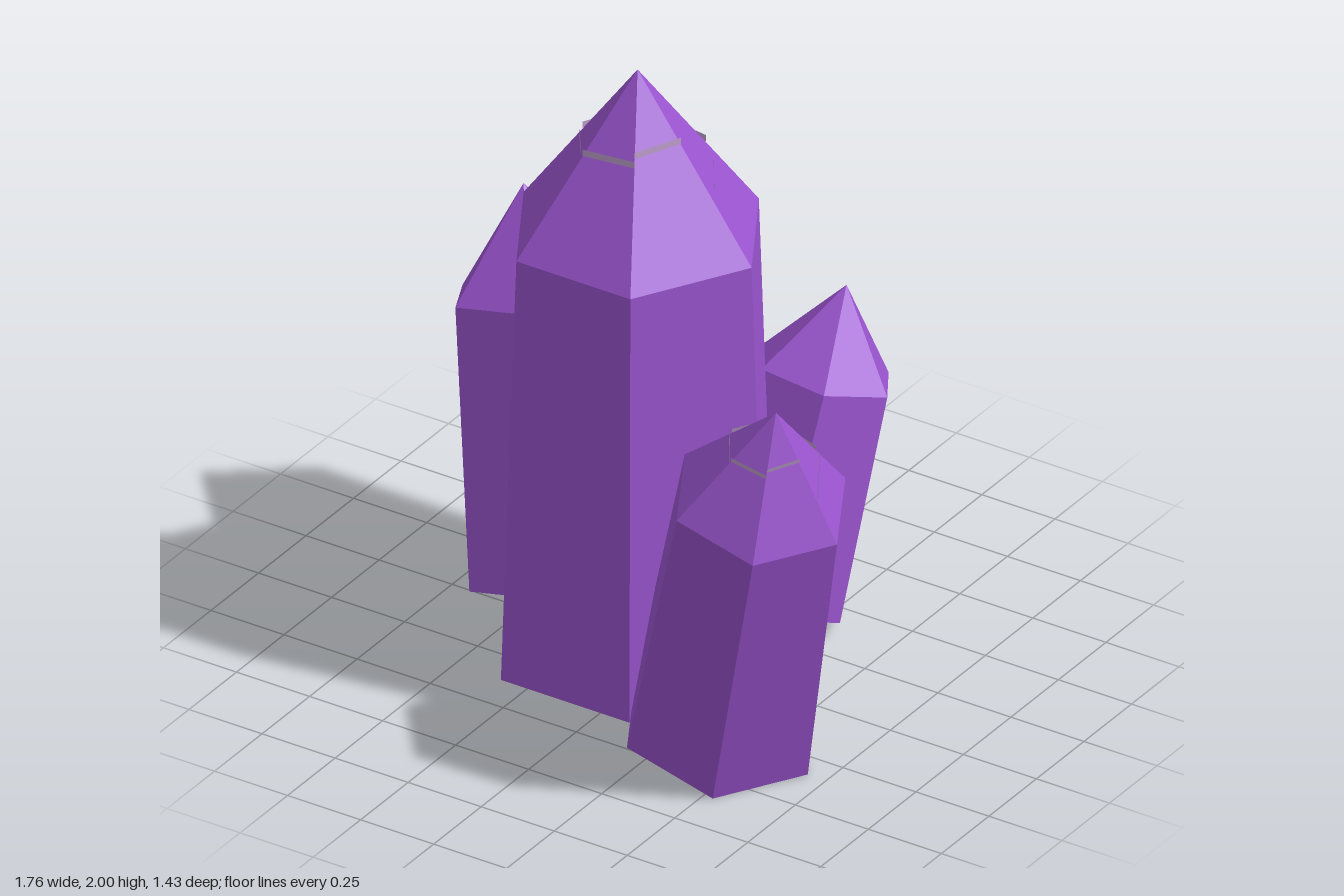
import * as THREE from 'three';

// base centre, apex, base radius, whether the tip carries the pale vein
const CRYSTALS = [
  { name: 'mainCrystal', base: [-0.05, 0.08, 0.1], apex: [-0.05, 2, 0.1], radius: 0.44, vein: true },
  { name: 'leftCrystal', base: [0.395, 0.08, 0.34], apex: [0.71, 1.32, 0.54], radius: 0.303, vein: true },
  { name: 'rightCrystal', base: [-0.46, 0.08, -0.105], apex: [-0.71, 1.2, -0.315], radius: 0.278, vein: false },
  { name: 'backCrystal', base: [0.11, 0.08, -0.35], apex: [0.2, 1.005, -0.615], radius: 0.241, vein: false },
];
const SHOULDER = 0.721; // where the tip starts along the length
const TAPER = 0.887;    // shoulder radius relative to base radius

// distance below the apex (share of tip height) at both ends of each facet's vein
const VEIN = [[0.355, 0.37], [0.41, 0.43], [0.44, 0.49], [0.46, 0.44], [0.46, 0.54], [0.6, 0.65]];

// narrow upright ribbons crossing the tip facets
function veinGeometry(length, tipHeight, tipRadius) {
  const half = length * 0.0055;
  const positions = [];
  const index = [];
  VEIN.forEach((ends, k) => {
    ends.forEach((t, i) => {
      const a = (k + i) * Math.PI / 3;
      const y = length - t * tipHeight;
      const r = tipRadius * (t + half / tipHeight) + 0.002;
      for (const dy of [-half, half]) positions.push(r * Math.cos(a), y + dy, r * Math.sin(a));
    });
    const o = k * 4;
    index.push(o, o + 1, o + 2, o + 1, o + 3, o + 2);
  });
  const geometry = new THREE.BufferGeometry();
  geometry.setAttribute('position', new THREE.Float32BufferAttribute(positions, 3));
  geometry.setIndex(index);
  geometry.computeVertexNormals();
  return geometry;
}

function addMesh(group, name, geometry, material, y = 0) {
  const mesh = new THREE.Mesh(geometry, material);
  mesh.name = name;
  mesh.position.y = y;
  group.add(mesh);
}

// six-sided tapering shaft with a pointed tip, leaning from base to apex
function makeCrystal(spec, purple, lilac) {
  const group = new THREE.Group();
  group.name = spec.name;
  const base = new THREE.Vector3(...spec.base);
  const axis = new THREE.Vector3(...spec.apex).sub(base);
  const length = axis.length();
  const shaft = length * SHOULDER;
  const tip = length - shaft;
  const r = spec.radius * TAPER;

  addMesh(group, 'shaft', new THREE.CylinderGeometry(r, spec.radius, shaft, 6, 1, false, Math.PI / 2), purple, shaft / 2);
  addMesh(group, 'tip', new THREE.ConeGeometry(r, tip, 6, 1, true, Math.PI / 2), purple, shaft + tip / 2);
  if (spec.vein) addMesh(group, 'tipVein', veinGeometry(length, tip, r), lilac);

  group.position.copy(base);
  group.rotation.set(Math.asin(axis.z / length), 0, Math.atan2(-axis.x, axis.y), 'ZXY');
  return group;
}

export function createModel() {
  const purple = new THREE.MeshStandardMaterial({ color: 0x9b55d0, flatShading: true });
  purple.name = 'crystalPurple';
  const lilac = new THREE.MeshStandardMaterial({ color: 0xc4a4d4, flatShading: true, side: THREE.DoubleSide });
  lilac.name = 'paleLilac';

  const model = new THREE.Group();
  model.name = 'crystalCluster';
  for (const spec of CRYSTALS) model.add(makeCrystal(spec, purple, lilac));
  return model;
}
